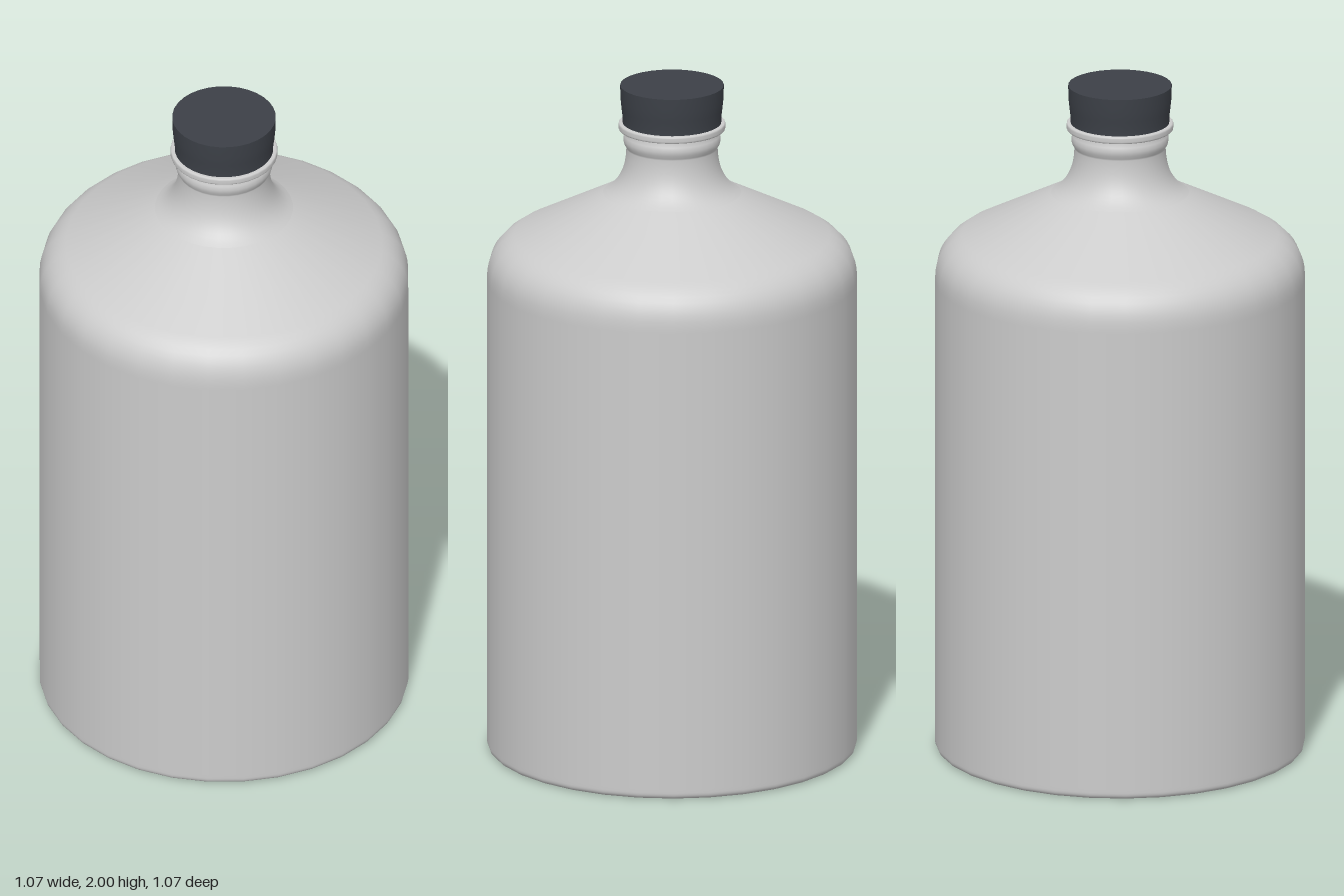
import * as THREE from 'three';

const SEGMENTS = 32;

// Samples a polyline of [radius, height], rounding corners given a third value (fillet size).
function profile(corners, steps = 8) {
  const pts = corners.map(([x, y]) => new THREE.Vector2(x, y));
  const out = [];
  corners.forEach(([, , fillet], i) => {
    const p = pts[i];
    if (!fillet) { out.push(p); return; }
    const a = p.clone().add(pts[i - 1].clone().sub(p).setLength(fillet));
    const b = p.clone().add(pts[i + 1].clone().sub(p).setLength(fillet));
    out.push(...new THREE.QuadraticBezierCurve(a, p, b).getPoints(steps));
  });
  return out;
}

function lathe(name, points, material) {
  const mesh = new THREE.Mesh(new THREE.LatheGeometry(points, SEGMENTS), material);
  mesh.name = name;
  return mesh;
}

export function createModel() {
  const model = new THREE.Group();
  model.name = 'bottle';
  const grey = new THREE.MeshStandardMaterial({ color: 0xcccccc });
  const dark = new THREE.MeshStandardMaterial({ color: 0x3c4047 });

  // Flat base, straight wall, rounded shoulder, sloping top and flared neck
  model.add(lathe('body', profile([
    [0, 0], [0.51, 0], [0.535, 0, 0.02], [0.535, 0.03], [0.535, 1.41],
    [0.535, 1.508, 0.085], [0.2, 1.676, 0.01], [0.2, 1.676],
  ].slice(0, 6).concat([[0.2, 1.676]])), grey));

  const flare = new THREE.CubicBezierCurve(
    new THREE.Vector2(0.2, 1.676), new THREE.Vector2(0.16, 1.698),
    new THREE.Vector2(0.134, 1.74), new THREE.Vector2(0.132, 1.81));
  model.add(lathe('neck', [
    ...flare.getPoints(10),
    // small bead around the neck
    ...profile([[0.133, 1.815], [0.139, 1.825], [0.141, 1.837], [0.139, 1.85], [0.132, 1.862], [0.13, 1.9]]),
  ], grey));

  // Collar ring under the cap
  model.add(lathe('collarRing', profile([
    [0.125, 1.867], [0.145, 1.867], [0.155, 1.867, 0.006], [0.155, 1.888, 0.006],
    [0.145, 1.888], [0.125, 1.888],
  ], 3), grey));

  // Cap: waisted skirt, with separate flat faces to keep the rims crisp
  const cap = new THREE.Group();
  cap.name = 'cap';
  cap.add(lathe('capSkirt', profile([
    [0.143, 1.887], [0.143, 1.905], [0.146, 1.93], [0.149, 1.96], [0.15, 2],
  ]), dark));
  for (const [name, radius, y, turn] of [['capTop', 0.15, 2, -1], ['capUnderside', 0.143, 1.887, 1]]) {
    const disc = new THREE.Mesh(new THREE.CircleGeometry(radius, SEGMENTS), dark);
    disc.name = name;
    disc.rotation.x = turn * Math.PI / 2;
    disc.position.y = y;
    cap.add(disc);
  }
  model.add(cap);
  return model;
}
